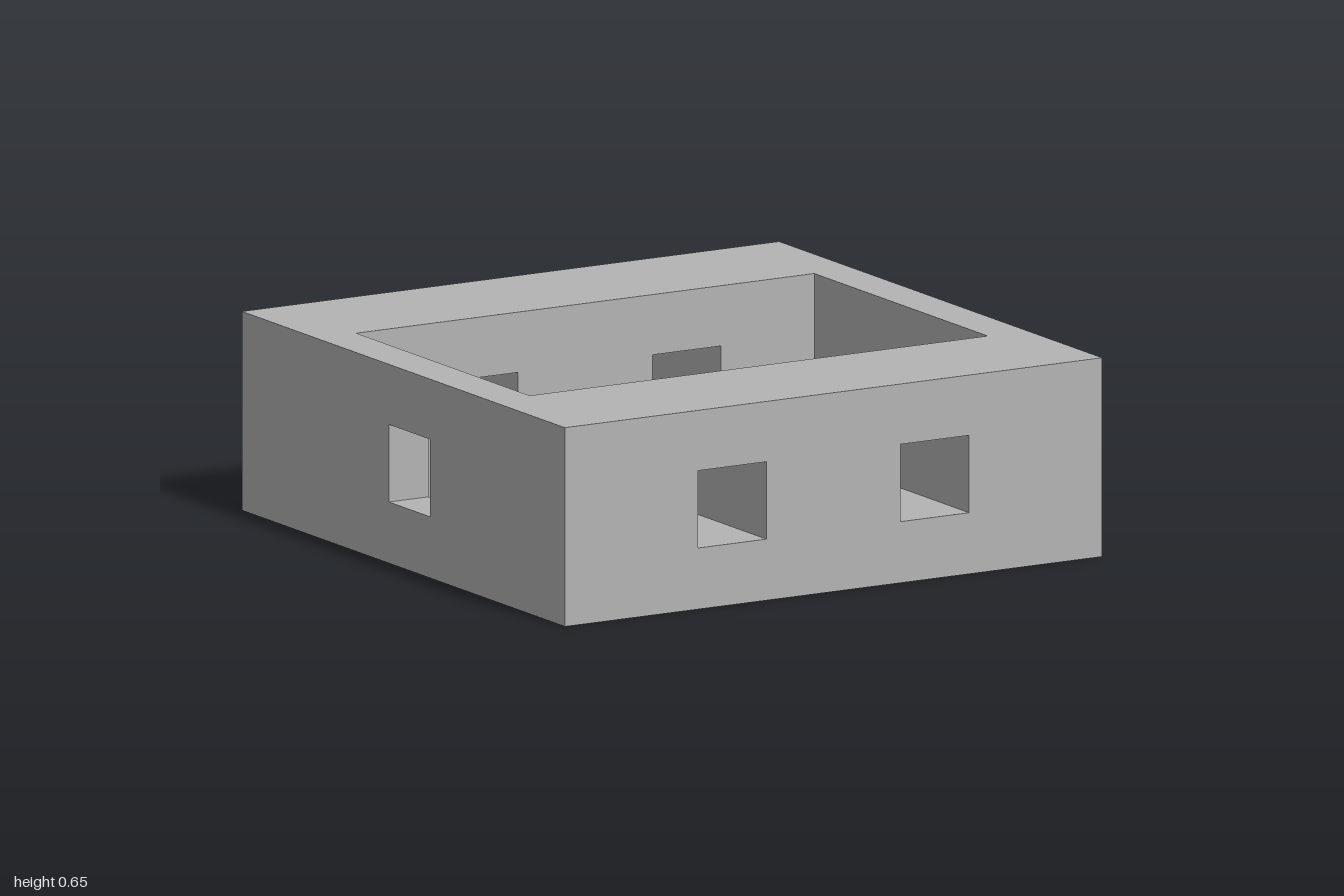
import * as THREE from 'three';
import { mergeGeometries } from 'three/addons/utils/BufferGeometryUtils.js';

const H = 0.65, FLOOR = 0.06;   // overall height, floor thickness
const CX = 0.853, CZ = 0.537;   // half sizes of the cavity

// Rectangles are [x0, y0, x1, y1]
const corners = ([x0, y0, x1, y1]) => [
  new THREE.Vector2(x0, y0), new THREE.Vector2(x1, y0),
  new THREE.Vector2(x1, y1), new THREE.Vector2(x0, y1),
];

// Flat rectangle with rectangular holes, facing +z
function panel(rect, holes, z) {
  const shape = new THREE.Shape(corners(rect));
  shape.holes = holes.map((h) => new THREE.Path(corners(h)));
  return new THREE.ShapeGeometry(shape).translate(0, 0, z);
}

// Turn a geometry inside out
function flip(geo) {
  geo.setIndex(Array.from(geo.index.array).reverse());
  const n = geo.attributes.normal;
  for (let i = 0; i < n.count; i++) n.setXYZ(i, -n.getX(i), -n.getY(i), -n.getZ(i));
  return geo;
}

// Four inward-facing sides of an opening between two depths
function tunnel([x0, y0, x1, y1], zOut, zIn) {
  const box = new THREE.BoxGeometry(x1 - x0, y1 - y0, zOut - zIn);
  box.setIndex(Array.from(box.index.array).slice(0, 24));
  box.clearGroups();
  return flip(box.translate((x0 + x1) / 2, (y0 + y1) / 2, (zOut + zIn) / 2));
}

// Outer skin, inner skin and opening sides of one slab
function slab(outer, inner, holes, zOut, zIn) {
  return mergeGeometries([
    panel(outer, holes, zOut),
    flip(panel(inner, holes, zIn)),
    ...holes.map((h) => tunnel(h, zOut, zIn)),
  ]);
}

export function createModel() {
  const model = new THREE.Group();
  const grey = new THREE.MeshStandardMaterial({ color: 0xb3b3b3 });
  grey.name = 'grey';
  const add = (name, geo) => {
    const mesh = new THREE.Mesh(geo, grey);
    mesh.name = name;
    model.add(mesh);
  };

  // Walls: the two halves match under a half turn
  const face = [-1, 0, 1, H];
  const longWindows = [[-0.505, 0.2, -0.25, 0.453], [0.25, 0.2, 0.505, 0.453]];
  const sideWindow = [[-0.09, 0.2, 0.163, 0.453]];
  [['frontWall', 'leftWall', 0], ['backWall', 'rightWall', Math.PI]].forEach(([longName, sideName, turn]) => {
    add(longName, slab(face, [-CX, FLOOR, CX, H], longWindows, 1, CZ).rotateY(turn));
    add(sideName, slab(face, [-CZ, FLOOR, CZ, H], sideWindow, 1, CX).rotateY(turn + Math.PI / 2));
  });

  // Floor with its square opening
  const square = [-1, -1, 1, 1], cavity = [-CX, -CZ, CX, CZ];
  add('floor', slab(square, cavity, [[0.475, 0.16, 0.775, 0.46]], 0, -FLOOR).rotateX(Math.PI / 2));

  // Top rim around the cavity
  add('topRim', panel(square, [cavity], H).rotateX(-Math.PI / 2));

  return model;
}
